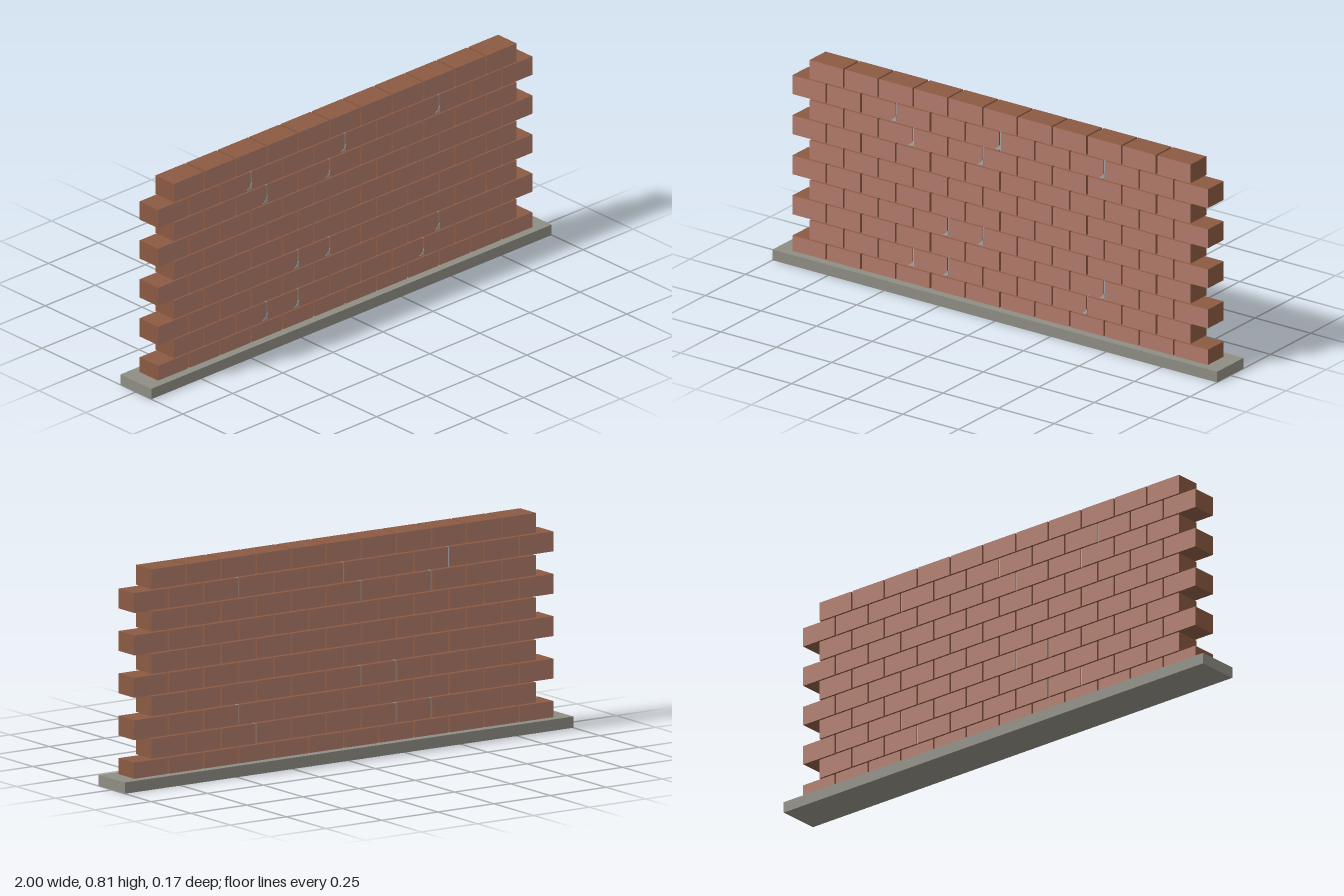
import * as THREE from 'three';

const faceMat = new THREE.MeshStandardMaterial({ color: 0xb07a6b });
faceMat.name = 'brick face';
const endMat = new THREE.MeshStandardMaterial({ color: 0x8b5a42 });
endMat.name = 'brick end';
const stoneMat = new THREE.MeshStandardMaterial({ color: 0x8f8e84 });
stoneMat.name = 'footing concrete';
const mortarMat = new THREE.MeshStandardMaterial({ color: 0xa3a6a8 });
mortarMat.name = 'mortar';

const PITCH = 0.1564, COURSE = 0.079, LENGTH = 0.149, HEIGHT = 0.074, DEPTH = 0.099;
const FIRST_Y = 0.065; // centre of the lowest course, partly sunk in the footing

function addMesh(parent, name, geometry, material, x, y, z) {
  const mesh = new THREE.Mesh(geometry, material);
  mesh.name = name;
  mesh.position.set(x, y, z);
  parent.add(mesh);
  return mesh;
}

export function createModel() {
  const wall = new THREE.Group();
  wall.name = 'brickWall';

  // Concrete footing
  addMesh(wall, 'footing', new THREE.BoxGeometry(2, 0.042, 0.165), stoneMat, 0, 0.021, 0);

  // Running bond: courses alternate between twelve and eleven bricks
  const brickGeo = new THREE.BoxGeometry(LENGTH, HEIGHT, DEPTH);
  const brickMats = [endMat, endMat, endMat, endMat, faceMat, faceMat];
  for (let row = 0; row < 10; row++) {
    const course = new THREE.Group();
    course.name = 'course' + (row + 1);
    const count = row % 2 ? 11 : 12;
    for (let i = 0; i < count; i++) {
      addMesh(course, 'brick', brickGeo, brickMats, (i - (count - 1) / 2) * PITCH, 0, 0);
    }
    course.position.y = FIRST_Y + row * COURSE;
    wall.add(course);
  }

  // Small mortar smears beside some upright joints: [course, joint from centre]
  const smear = new THREE.Shape([
    new THREE.Vector2(-0.022, -0.033), new THREE.Vector2(0.002, -0.033),
    new THREE.Vector2(0.002, -0.008), new THREE.Vector2(-0.006, -0.02),
  ]);
  const smearGeo = new THREE.ExtrudeGeometry(smear, { depth: 0.002, bevelEnabled: false });
  const stripGeo = new THREE.BoxGeometry(0.004, HEIGHT, DEPTH - 0.004);
  const smears = [[8, -3], [8, 0], [8, 3], [7, -2.5], [7, -0.5], [3, -1.5], [3, -0.5],
    [2, 3], [1, -2.5], [1, -1.5], [1, 2.5]];
  for (const [row, joint] of smears) {
    const x = joint * PITCH, y = FIRST_Y + row * COURSE;
    addMesh(wall, 'mortarSmear', smearGeo, mortarMat, x, y, DEPTH / 2 - 0.001);
    addMesh(wall, 'mortarJoint', stripGeo, mortarMat, x, y, 0);
  }
  return wall;
}
